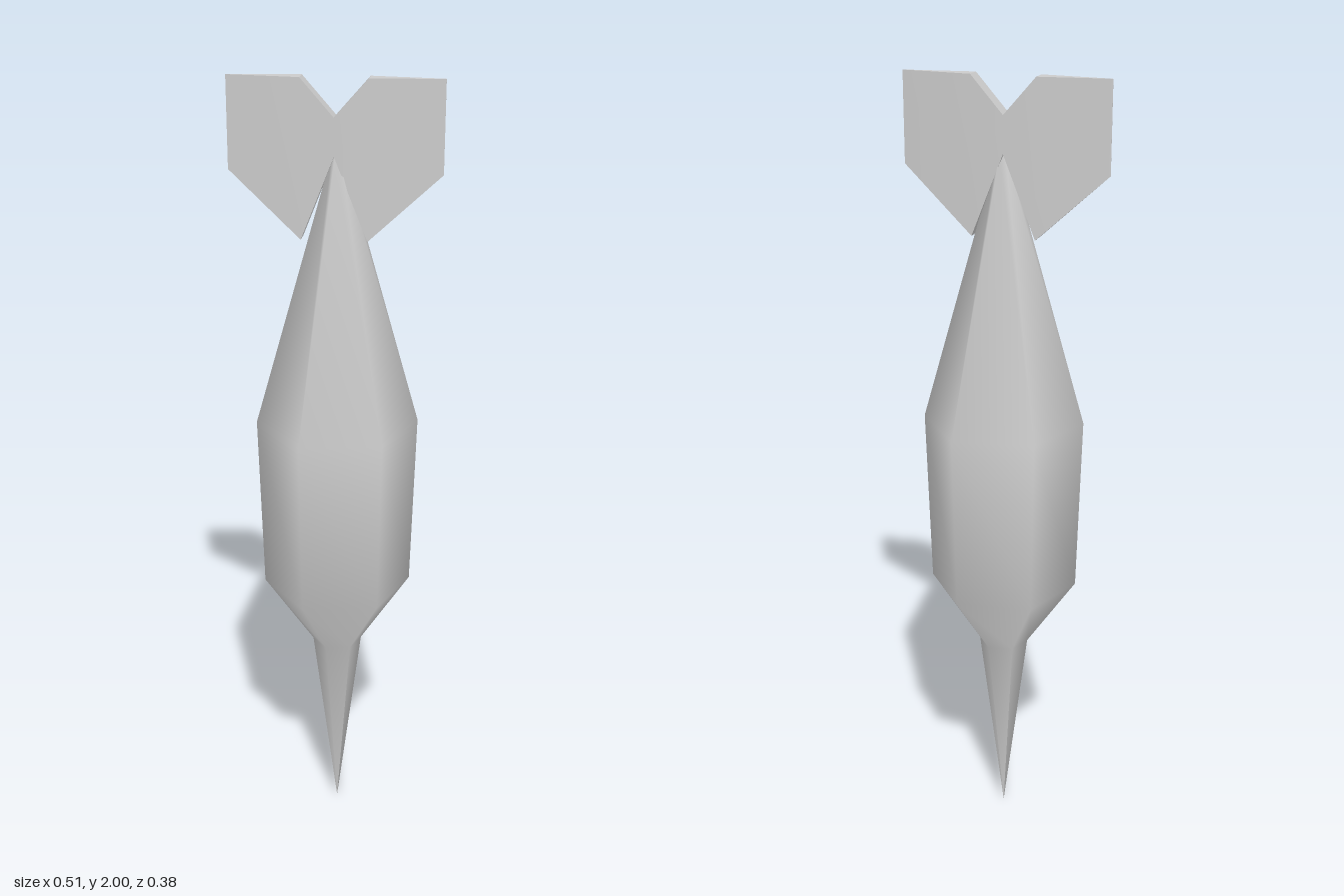
import * as THREE from 'three';
import { toCreasedNormals } from 'three/addons/utils/BufferGeometryUtils.js';

const material = new THREE.MeshStandardMaterial({ color: 0xcccccc, side: THREE.DoubleSide });

// Six-sided body: long point, swollen middle, tapered tail
function createBody() {
  const profile = [[0, 0.005], [0.064, 0.52], [0.19, 0.7], [0.203, 1.15], [0.014, 1.82], [0, 1.83]]
    .map(([r, y]) => new THREE.Vector2(r, y));
  const geometry = new THREE.LatheGeometry(profile, 6, THREE.MathUtils.degToRad(39.6));
  const body = new THREE.Mesh(geometry, material);
  body.name = 'body';
  body.position.x = 0.006;
  return body;
}

// Flat tail fin with notched edges, thinning to a blade at both sides
function createTailFin() {
  // Half outline: x, top y, bottom y, half thickness
  const half = [[0.08, 2, 1.62, 0.021], [0.256, 2, 1.78, 0.0005]];
  const stations = [
    ...half.map(([x, ...rest]) => [-x, ...rest]).reverse(),
    [0, 1.91, 1.82, 0.021],
    ...half,
  ];
  const positions = [];
  const index = [];
  for (const [x, top, bottom, t] of stations) {
    positions.push(x, top, t, x, bottom, t, x, bottom, -t, x, top, -t);
  }
  for (let i = 0; i < stations.length - 1; i++) {
    for (let j = 0; j < 4; j++) {
      const a = i * 4 + j;
      const b = i * 4 + (j + 1) % 4;
      index.push(a, b, b + 4, a, b + 4, a + 4);
    }
  }
  // Blade end caps
  const e = (stations.length - 1) * 4;
  index.push(0, 3, 2, 0, 2, 1, e, e + 1, e + 2, e, e + 2, e + 3);

  const geometry = new THREE.BufferGeometry();
  geometry.setAttribute('position', new THREE.Float32BufferAttribute(positions, 3));
  geometry.setIndex(index);
  const fin = new THREE.Mesh(toCreasedNormals(geometry, 0.6), material);
  fin.name = 'tailFin';
  return fin;
}

export function createModel() {
  const model = new THREE.Group();
  model.name = 'dart';
  model.add(createBody(), createTailFin());
  return model;
}
